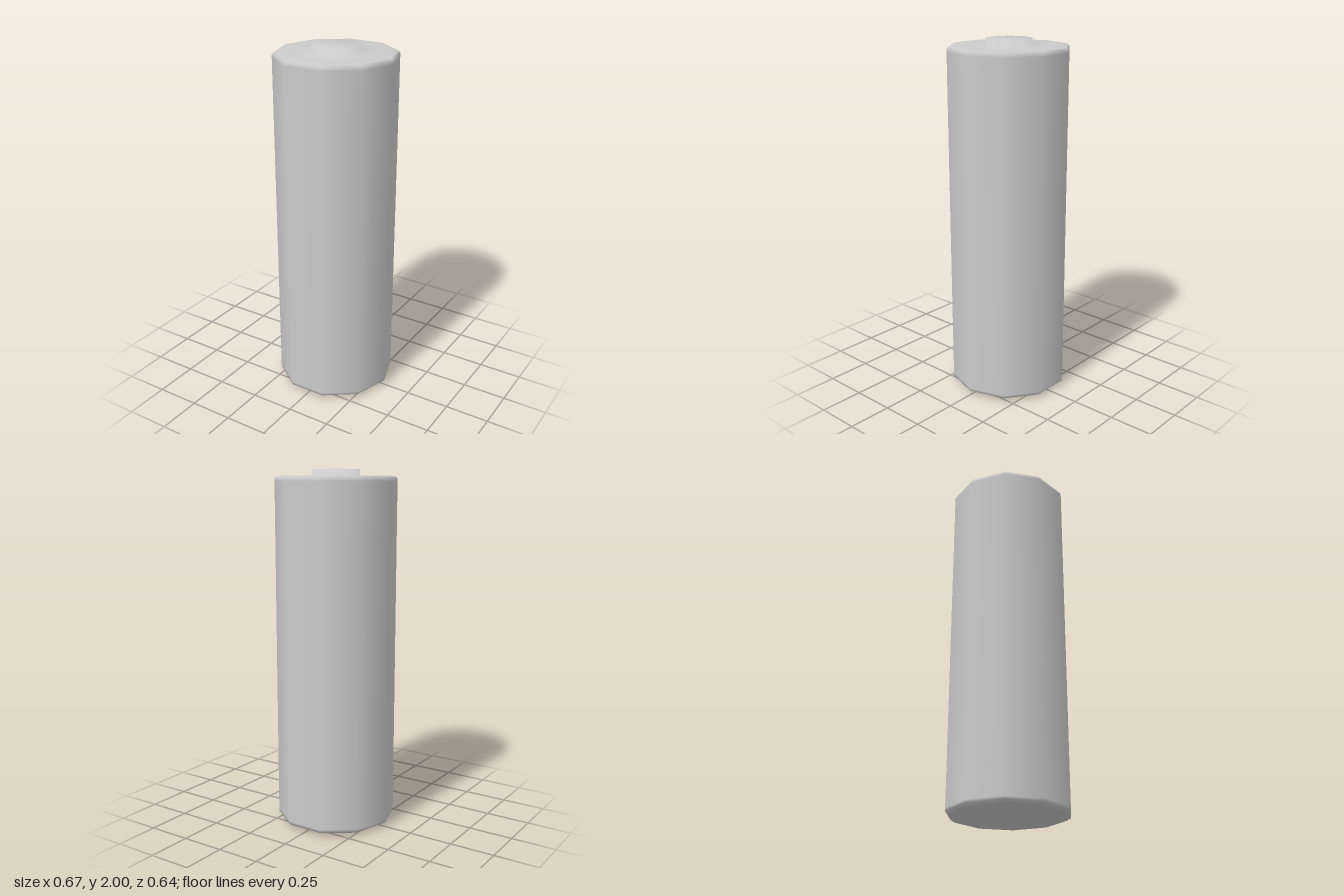
import * as THREE from 'three';

const SIDES = 10;
const material = new THREE.MeshStandardMaterial({ color: 0xcccccc });

// Ten-sided turned part with smooth normals, corners on the x axis
function turned(name, profile) {
  const points = profile.map(([r, y]) => new THREE.Vector2(r, y));
  const geometry = new THREE.LatheGeometry(points, SIDES, Math.PI / 2);
  const mesh = new THREE.Mesh(geometry, material);
  mesh.name = name;
  return mesh;
}

export function createModel() {
  const group = new THREE.Group();
  group.name = 'batteryCell';

  // Casing: faintly domed base, bevelled ends, flat rim on top
  group.add(turned('casing', [
    [0, 0], [0.315, 0.011], [0.337, 0.025], [0.337, 0.04],
    [0.337, 1.935], [0.337, 1.95], [0.325, 1.964], [0.26, 1.964],
  ]));

  // Top cap with the raised terminal in its middle
  group.add(turned('topCapAndTerminal', [
    [0.26, 1.964], [0.129, 1.964], [0.129, 2], [0, 2],
  ]));

  return group;
}
